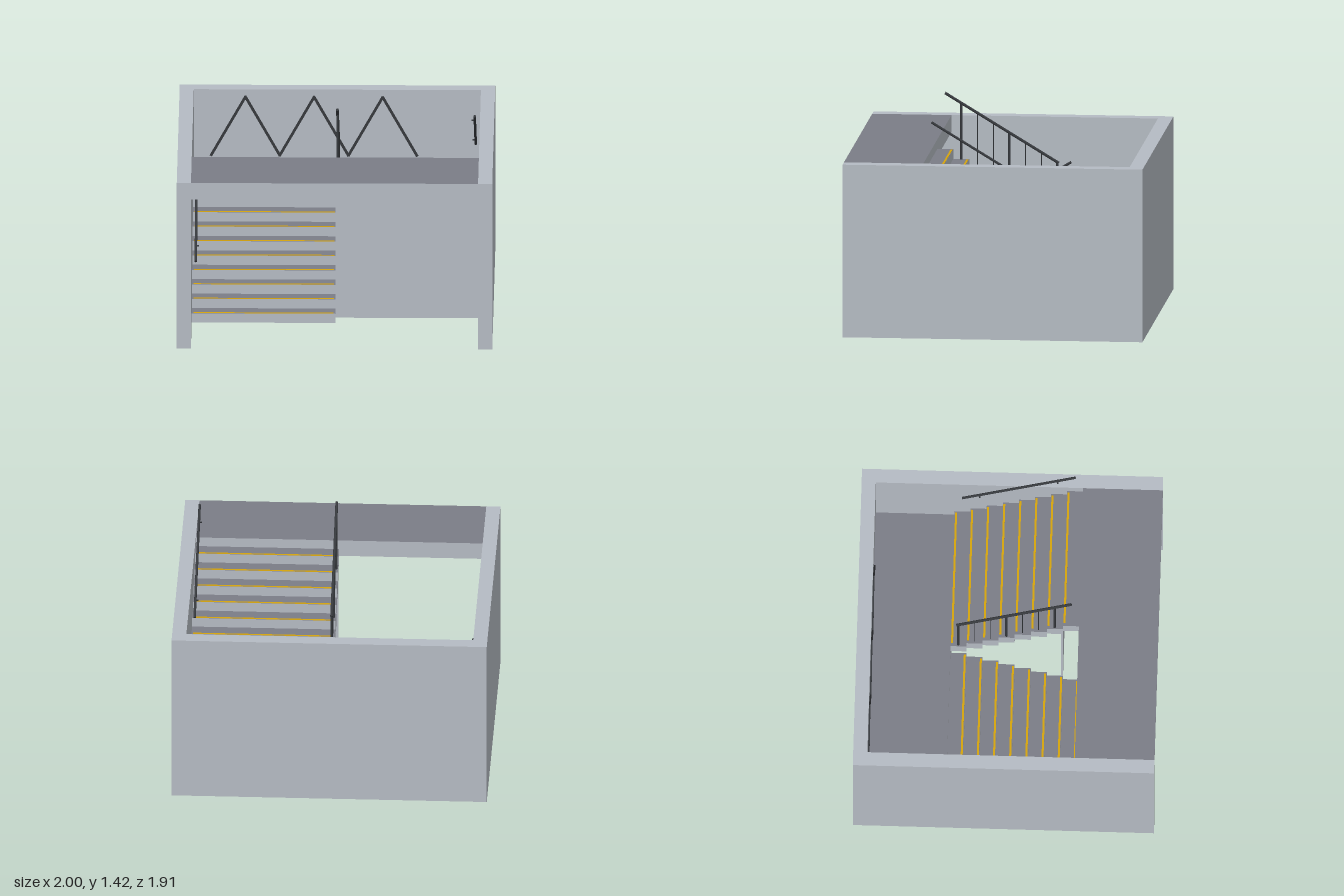
import * as THREE from 'three';

const mat = (name, color) => {
  const m = new THREE.MeshStandardMaterial({ color });
  m.name = name;
  return m;
};

export function createModel() {
  const model = new THREE.Group();
  model.name = 'stairwell';
  const concrete = mat('pale concrete', 0xb5bbc3);
  const floor = mat('dark floor', 0x7b7d86);
  const yellow = mat('safety yellow', 0xd6a40c);
  const steel = mat('dark steel', 0x36393d);
  const floorTopped = [concrete, concrete, floor, concrete, concrete, concrete];

  // Box given by its limits on each axis
  const box = (name, [x0, x1], [y0, y1], [z0, z1], material, parent = model) => {
    const mesh = new THREE.Mesh(new THREE.BoxGeometry(x1 - x0, y1 - y0, z1 - z0), material);
    mesh.position.set((x0 + x1) / 2, (y0 + y1) / 2, (z0 + z1) / 2);
    mesh.name = name;
    parent.add(mesh);
    return mesh;
  };
  // Round bar between two points
  const bar = (name, a, b, r, parent, sides = 12) => {
    const p = new THREE.Vector3(...a), q = new THREE.Vector3(...b);
    const d = q.clone().sub(p);
    const mesh = new THREE.Mesh(new THREE.CylinderGeometry(r, r, d.length(), sides), steel);
    mesh.position.copy(p).add(q).multiplyScalar(0.5);
    mesh.quaternion.setFromUnitVectors(new THREE.Vector3(0, 1, 0), d.normalize());
    mesh.name = name;
    parent.add(mesh);
  };
  const group = (name) => {
    const g = new THREE.Group();
    g.name = name;
    model.add(g);
    return g;
  };

  const H = 1.11, IN = 0.91, ZE = 0.955, ZB = -0.865;
  const Z0 = 0.45, Z1 = -0.365, STEPS = 8;
  const run = (Z0 - Z1) / STEPS, rise = H / 18;

  // Enclosing walls
  box('sideWallRight', [-1, -IN], [0, H], [-ZE, ZE], concrete);
  box('sideWallLeft', [IN, 1], [0, H], [-ZE, ZE], concrete);
  box('backWall', [-IN, IN], [0, H], [-ZE, ZB], concrete);

  // Upper floor slab and solid half landing
  box('upperFloor', [-IN, IN], [1.0, H], [Z0, ZE], floorTopped);
  box('halfLanding', [-IN, IN], [0, H / 2], [ZB, Z1], floorTopped);

  // Lower flight is solid to the ground, upper flight is a folded stair
  const lower = group('lowerFlight'), upper = group('upperFlight');
  for (let i = 0; i < STEPS; i++) {
    const yl = rise * (i + 1), zl = Z0 - run * i;
    box('lowerStep', [-IN, 0], [0, yl], [zl - run, zl], floorTopped, lower);
    box('lowerNosing', [-0.9, -0.01], [yl, yl + 0.002], [zl - 0.017, zl - 0.004], yellow, lower);
    const yu = H / 2 + rise * (i + 1), zu = Z1 + run * i;
    box('upperStep', [0, IN], [yu - 0.09, yu], [zu, zu + run], floorTopped, upper);
    box('upperNosing', [0.02, 0.9], [yu, yu + 0.002], [zu + 0.003, zu + 0.016], yellow, upper);
  }
  // Partition closing the space beneath the upper flight
  box('partition', [0, IN], [0, 0.96], [0.335, 0.348], concrete);

  // Wall handrails with small brackets
  const slope = rise / run;
  const wallRail = (name, x, yFront, dir) => {
    const g = group(name);
    const y = (z) => yFront + dir * slope * (0.4 - z);
    bar('rail', [x, y(0.4), 0.4], [x, y(-0.315), -0.315], 0.008, g);
    const inward = x - Math.sign(x) * 0.02;
    for (const z of [0.29, -0.205]) bar('bracket', [x, y(z), z], [inward, y(z), z], 0.005, g, 8);
  };
  wallRail('lowerHandrail', -0.885, 0.392, 1);
  wallRail('upperHandrail', 0.883, 1.372, -1);

  // Central balustrade
  const balustrade = group('centralBalustrade');
  const cx = 0.013, railY = (z) => 1.412 - slope * (0.4 - z);
  bar('rail', [cx, railY(0.4), 0.4], [cx, railY(-0.325), -0.325], 0.009, balustrade);
  for (let i = 0; i < 7; i++) {
    const z = 0.295 - i * run, base = H / 2 + rise * (7 - i);
    const isPost = i % 3 === 0;
    bar(isPost ? 'post' : 'baluster', [cx, base, z], [cx, railY(z), z],
      isPost ? 0.008 : 0.002, balustrade, isPost ? 12 : 6);
  }

  // Zigzag bar on the back wall
  const zigzag = group('wallZigzag');
  const node = (i) => new THREE.Vector2(-0.8 + i * 0.2175, i % 2 ? 1.062 : 0.67);
  for (let i = 0; i < 6; i++) {
    const a = node(i), d = node(i + 1).sub(a);
    const mesh = new THREE.Mesh(new THREE.BoxGeometry(d.length() + 0.008, 0.016, 0.01), steel);
    mesh.position.set(a.x + d.x / 2, a.y + d.y / 2, -0.86);
    mesh.rotation.z = d.angle();
    mesh.name = 'zigzagBar';
    zigzag.add(mesh);
  }
  return model;
}
